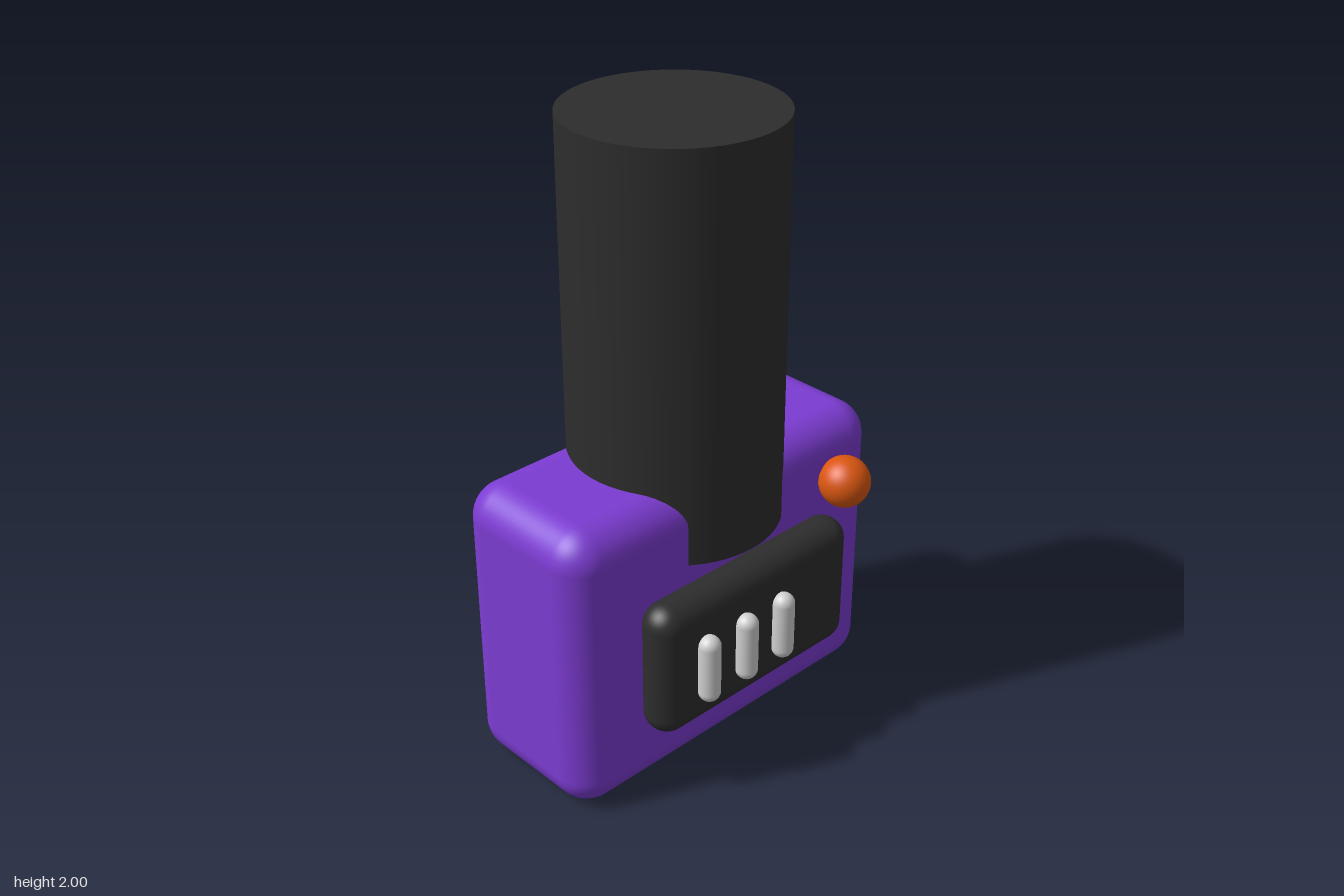
import * as THREE from 'three';
import { RoundedBoxGeometry } from 'three/addons/geometries/RoundedBoxGeometry.js';

export function createModel() {
  const model = new THREE.Group();
  const material = (name, color) => {
    const m = new THREE.MeshStandardMaterial({ color });
    m.name = name;
    return m;
  };
  const purple = material('purple', 0x7c3cd2);
  const charcoal = material('charcoal', 0x2d2d2d);
  const orange = material('orange', 0xd9560f);
  const silver = material('silver', 0xd0d0d0);

  const add = (name, geometry, mat, x, y, z) => {
    const mesh = new THREE.Mesh(geometry, mat);
    mesh.name = name;
    mesh.position.set(x, y, z);
    model.add(mesh);
  };

  // Rounded housing
  add('body', new RoundedBoxGeometry(1.25, 0.96, 0.526, 5, 0.11), purple, 0, 0.48, -0.053);

  // Thick column sunk into the top of the housing
  add('column', new THREE.CylinderGeometry(0.328, 0.328, 1.275, 64), charcoal, 0, 1.3625, -0.053);

  // Front panel
  add('panel', new RoundedBoxGeometry(0.8, 0.445, 0.14, 5, 0.069), charcoal, 0, 0.457, 0.258);

  // Row of three capsule bars on the panel
  for (let i = 0; i < 3; i++) {
    add('bar' + (i + 1), new THREE.CapsuleGeometry(0.035, 0.16, 8, 20), silver, -0.24 + i * 0.156, 0.45, 0.345);
  }

  // Round button at the upper left
  add('button', new THREE.SphereGeometry(0.082, 32, 24), orange, 0.42, 0.778, 0.265);

  return model;
}
